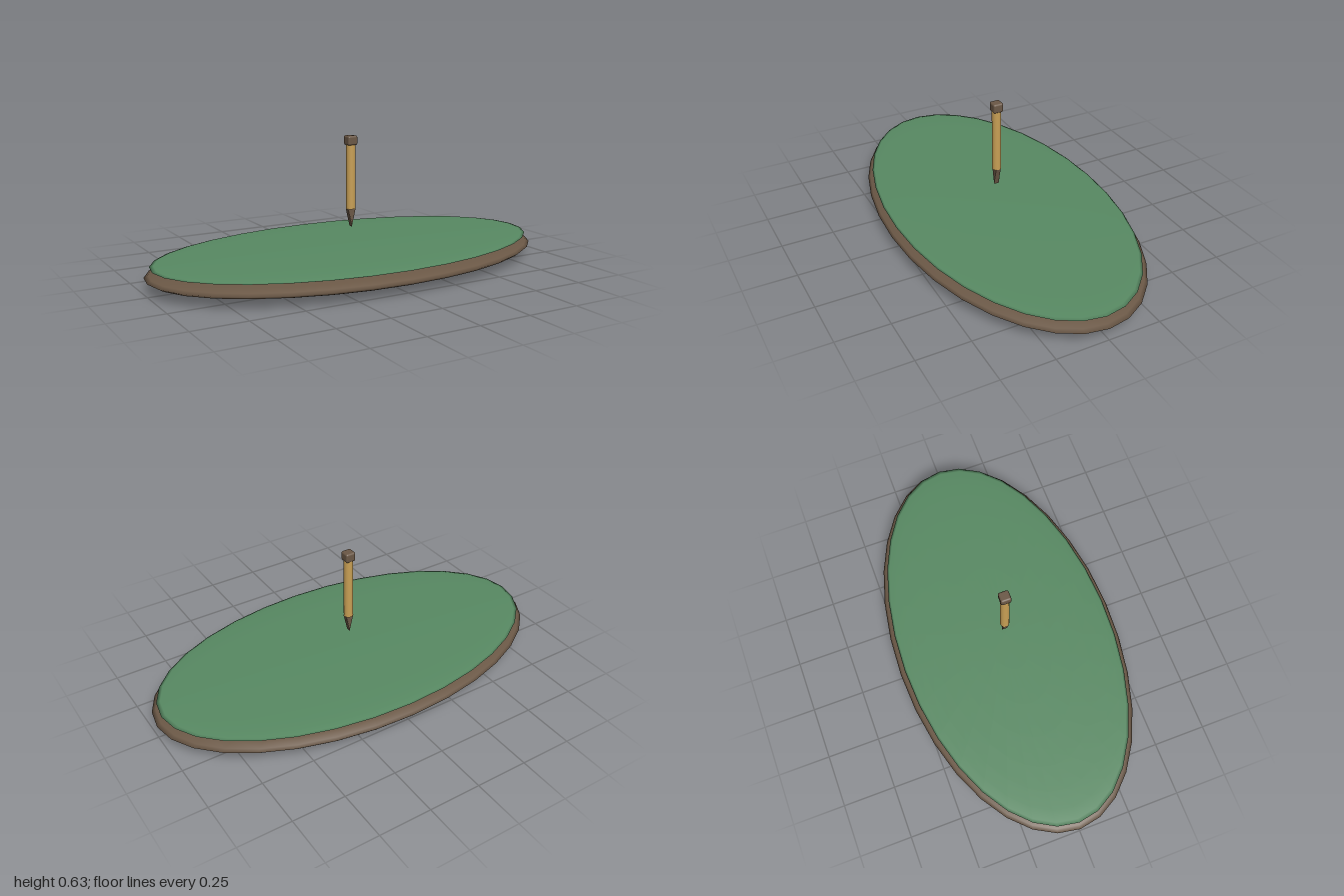
import * as THREE from 'three';
import { RoundedBoxGeometry } from 'three/addons/geometries/RoundedBoxGeometry.js';

function material(name, color) {
  const m = new THREE.MeshStandardMaterial({ color });
  m.name = name;
  return m;
}

export function createModel() {
  const group = new THREE.Group();
  const brown = material('brown', 0x6b5846);
  const green = material('green', 0x588a63);
  const wood = material('wood', 0xc9a055);

  const add = (name, geometry, mat, y) => {
    const mesh = new THREE.Mesh(geometry, mat);
    mesh.name = name;
    mesh.position.y = y;
    group.add(mesh);
    return mesh;
  };

  // Squashed oval discs: earth underneath, grass on top
  const disc = (name, mat, y, rx, ry, rz) =>
    add(name, new THREE.SphereGeometry(1, 32, 16).scale(rx, ry, rz), mat, y);
  disc('earthBase', brown, 0.059, 1, 0.059, 0.545);
  disc('grassTop', green, 0.105, 0.975, 0.0175, 0.52);

  // Floating peg: round shaft with a soft-edged cap
  add('pegShaft', new THREE.CylinderGeometry(0.022, 0.022, 0.305, 20), wood, 0.4375);
  add('pegCap', new RoundedBoxGeometry(0.05, 0.045, 0.05, 3, 0.009), brown, 0.61);

  // Wedge tip: a bevelled triangle, narrow from front to back
  const bevel = 0.004;
  const triangle = new THREE.Shape([
    new THREE.Vector2(-0.017, 0.283),
    new THREE.Vector2(0, 0.205),
    new THREE.Vector2(0.017, 0.283),
  ]);
  const tip = new THREE.ExtrudeGeometry(triangle, {
    depth: 0.018, bevelEnabled: true, bevelSize: bevel, bevelThickness: bevel, bevelSegments: 2,
  });
  tip.translate(0, 0, -0.009);
  add('pegTip', tip, brown, 0);

  return group;
}
